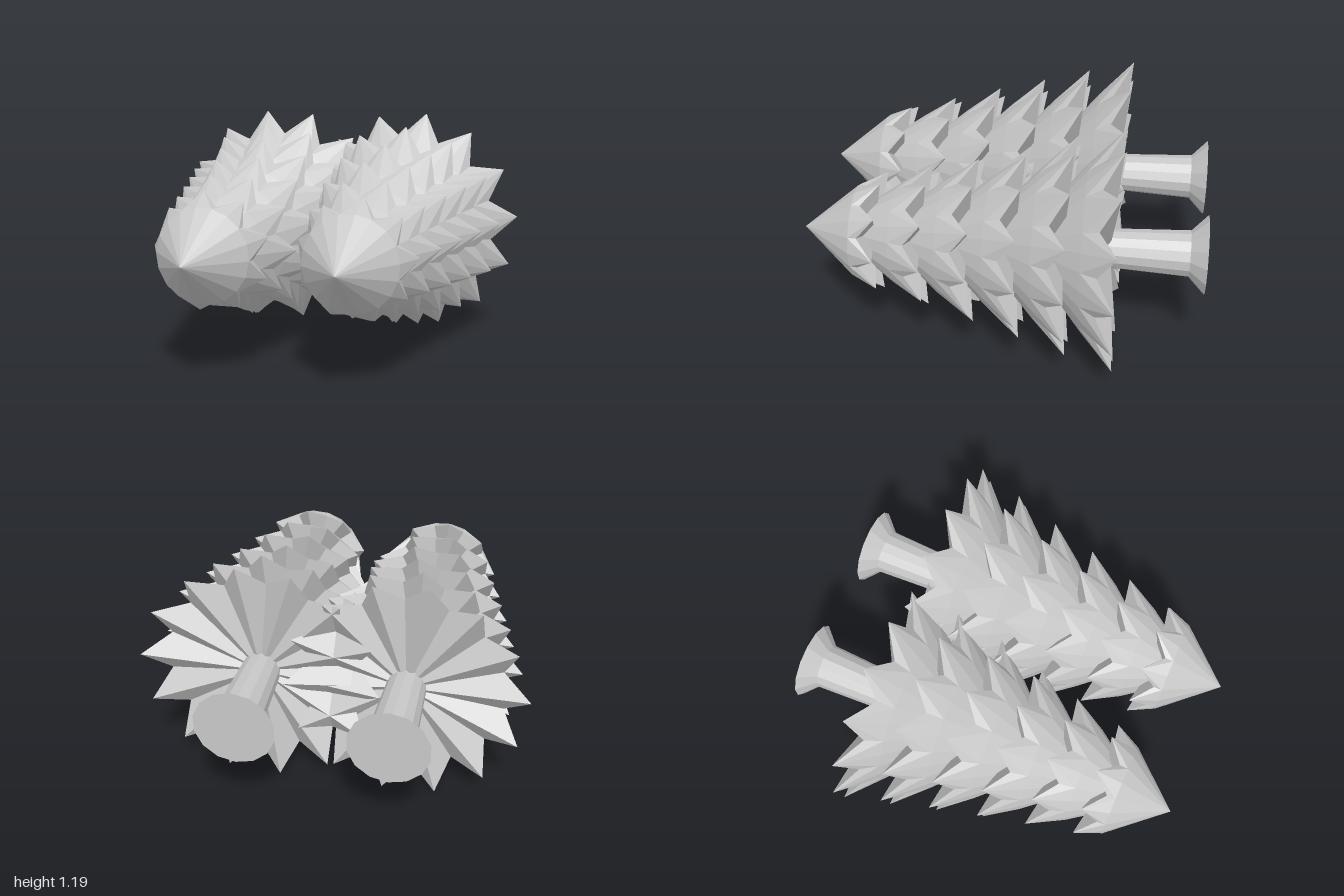
import * as THREE from 'three';

const grey = new THREE.MeshStandardMaterial({ color: 0xc8c8c8, flatShading: true });
grey.name = 'grey';

// A star skirt: tips swept back, valleys drawn in, rounded shoulder, pleated underside
function tierGeometry({ n, radius, tipZ, apexZ, shoulder, phase }) {
  const points = [];
  const at = (i, r, z) => {
    const a = phase + (i / n) * Math.PI;
    return [r * Math.cos(a), r * Math.sin(a), z];
  };
  const rim = i => i % 2 === 0 ? at(i, radius, tipZ) : at(i, radius * 0.79, tipZ + 0.09);
  const upper = i => at(i, radius * shoulder, tipZ + (apexZ - tipZ) * 0.33);
  for (let i = 0; i < n * 2; i++) {
    const a = rim(i), b = rim(i + 1), c = upper(i), d = upper(i + 1);
    points.push(0, 0, apexZ, ...c, ...d);
    // The diagonal always starts at the tip, so each leaf is symmetric
    if (i % 2 === 0) points.push(...c, ...a, ...d, ...d, ...a, ...b);
    else points.push(...c, ...a, ...b, ...c, ...b, ...d);
    points.push(0, 0, tipZ + 0.05, ...b, ...a);
  }
  const g = new THREE.BufferGeometry();
  g.setAttribute('position', new THREE.Float32BufferAttribute(points, 3));
  g.computeVertexNormals();
  return g;
}

// Cylinder section along z, between zBack and zFront
function trunkSection(name, rBack, rFront, zBack, zFront) {
  const g = new THREE.CylinderGeometry(rFront, rBack, zFront - zBack, 14);
  g.rotateX(Math.PI / 2);
  g.translate(0, 0, (zBack + zFront) / 2);
  const mesh = new THREE.Mesh(g, grey);
  mesh.name = name;
  return mesh;
}

function makeTree(name, x, phase) {
  const tree = new THREE.Group();
  tree.name = name;
  tree.position.set(x, 0.6, 0);

  // Foliage tiers from the base to the tip
  const radii = [0.6, 0.54, 0.475, 0.415, 0.355, 0.3];
  radii.forEach((radius, i) => {
    const top = i === radii.length - 1;
    const tipZ = -0.58 + i * 0.235;
    const geometry = tierGeometry({
      n: 14 - i, radius, tipZ, phase,
      apexZ: top ? 1 : tipZ + 0.52,
      shoulder: top ? 0.78 : 0.69,
    });
    const tier = new THREE.Mesh(geometry, grey);
    tier.name = `foliageTier${i + 1}`;
    tree.add(tier);
  });

  // Trunk with a flared foot
  tree.add(trunkSection('trunk', 0.115, 0.095, -0.92, -0.48));
  tree.add(trunkSection('trunkFoot', 0.197, 0.115, -1, -0.92));
  return tree;
}

export function createModel() {
  const model = new THREE.Group();
  model.name = 'twoFallenPines';
  model.add(makeTree('leftTree', 0.35, 0.075));
  model.add(makeTree('rightTree', -0.37, Math.PI - 0.05));
  return model;
}
